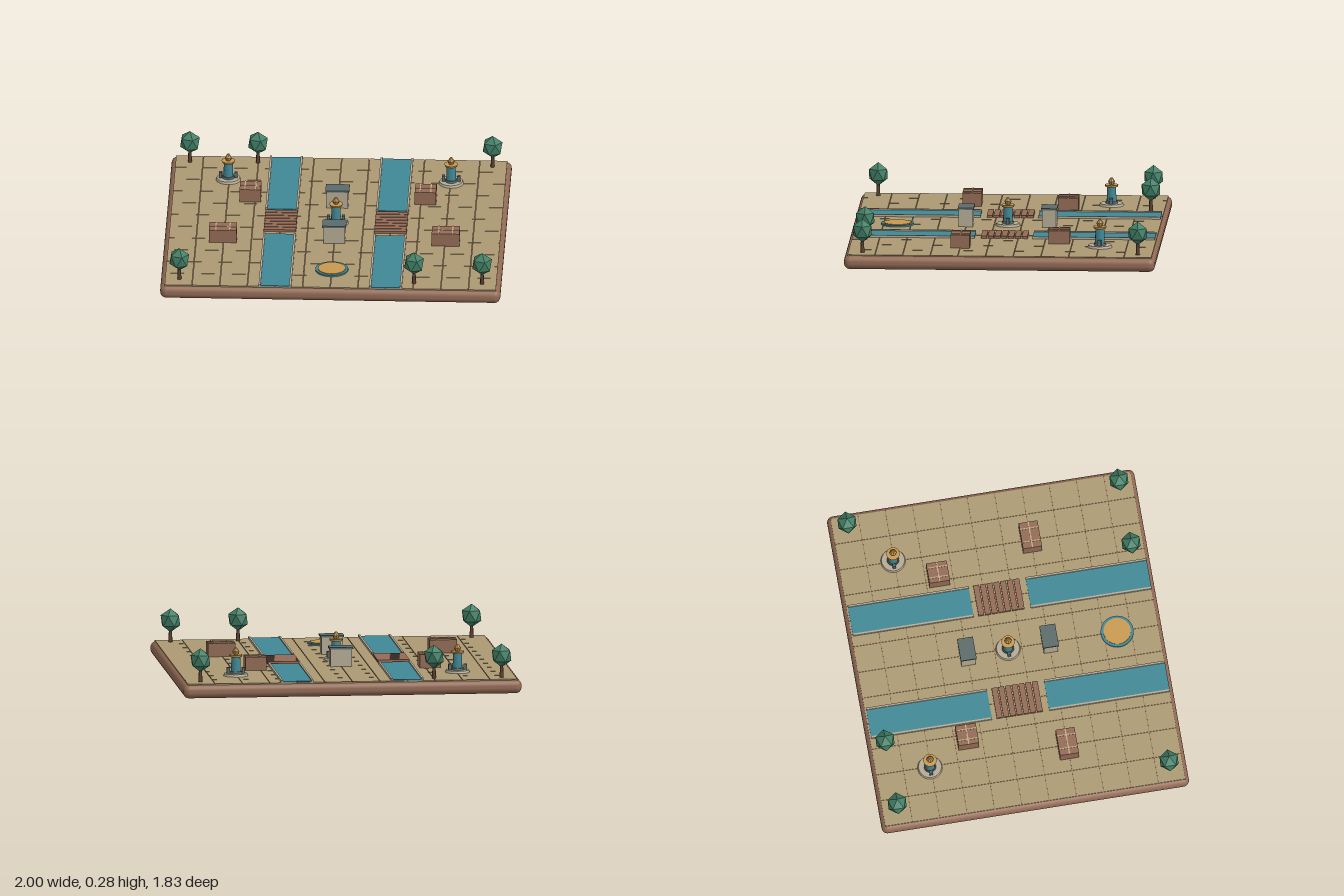
import * as THREE from 'three';
import { RoundedBoxGeometry } from 'three/addons/geometries/RoundedBoxGeometry.js';

function mat(name, color, flatShading = false) {
  const m = new THREE.MeshStandardMaterial({ color, flatShading });
  m.name = name;
  return m;
}

export function createModel() {
  const wood = mat('brown wood', 0x936b55);
  const sand = mat('sand paving', 0xac9a72);
  const water = mat('teal', 0x418896);
  const stone = mat('pale stone', 0xb5ab95);
  const slate = mat('slate', 0x5b6b6a);
  const gold = mat('gold', 0xc99a50, true);
  const leaf = mat('leaf green', 0x427f66, true);
  const bark = mat('dark bark', 0x5a4030);
  const strap = mat('tan strap', 0xc8ab85);

  const model = new THREE.Group();
  model.name = 'plaza';
  const G = 0.086; // paving level

  function add(parent, name, geometry, material, x, y, z) {
    const m = new THREE.Mesh(geometry, material);
    m.name = name;
    m.position.set(x, y, z);
    parent.add(m);
    return m;
  }
  // box and cylinder placed by the height of their underside
  const box = (p, name, m, w, h, d, x, y, z) =>
    add(p, name, new THREE.BoxGeometry(w, h, d), m, x, y + h / 2, z);
  const cyl = (p, name, m, rTop, rBottom, h, x, y, z, sides = 24) =>
    add(p, name, new THREE.CylinderGeometry(rTop, rBottom, h, sides), m, x, y + h / 2, z);
  function group(name, x, z) {
    const g = new THREE.Group();
    g.name = name;
    g.position.set(x, G, z);
    model.add(g);
    return g;
  }

  // rounded base slab
  add(model, 'base', new RoundedBoxGeometry(2, 0.082, 1.83, 4, 0.036), wood, 0, 0.041, 0);

  // square paving with fine joints
  const paving = new THREE.Group();
  paving.name = 'paving';
  model.add(paving);
  const cols = 12, rows = 11, tw = 1.95 / cols, td = 1.79 / rows;
  for (let i = 0; i < cols; i++) {
    for (let j = 0; j < rows; j++) {
      box(paving, 'tile', sand, tw - 0.003, 0.008, td - 0.003,
        (i + 0.5) * tw - 0.975, G - 0.008, (j + 0.5) * td - 0.895);
    }
  }

  // two canals, each interrupted by a plank bridge
  for (const side of [-1, 1]) {
    const x = side * 0.325;
    for (const [z0, z1] of [[-0.885, -0.165], [0.175, 0.895]]) {
      const canal = group('canal', x, (z0 + z1) / 2);
      box(canal, 'water', water, 0.17, 0.006, z1 - z0, 0, 0, 0);
      for (const s of [-1, 1]) box(canal, 'kerb', stone, 0.012, 0.013, z1 - z0, s * 0.09, 0, 0);
    }
    const bridge = group('bridge', x, 0);
    for (let i = -3; i <= 3; i++) box(bridge, 'plank', wood, 0.19, 0.014, 0.034, 0, 0, i * 0.04);
  }

  // strapped crates
  function crate(x, z, w, d) {
    const g = group('crate', x, z);
    const h = 0.079;
    box(g, 'crateBody', wood, w, h, d, 0, 0, 0);
    for (const s of [-1, 1]) box(g, 'crossStrap', strap, 0.007, 0.003, d, s * w * 0.25, h, 0);
    box(g, 'longStrap', strap, w, 0.003, 0.007, 0, h, 0);
  }

  // pedestal with teal column, gold dish and finial
  function monument(x, z) {
    const g = group('monument', x, z);
    cyl(g, 'plinth', stone, 0.068, 0.073, 0.014, 0, 0, 0);
    cyl(g, 'collar', slate, 0.034, 0.036, 0.012, 0, 0.014, 0);
    cyl(g, 'column', water, 0.026, 0.029, 0.094, 0, 0.02, 0, 12);
    for (const s of [-1, 1]) box(g, 'sidePost', slate, 0.018, 0.035, 0.02, s * 0.045, 0.014, 0);
    cyl(g, 'dish', gold, 0.04, 0.036, 0.012, 0, 0.112, 0, 16);
    cyl(g, 'finialBase', gold, 0.021, 0.013, 0.02, 0, 0.124, 0, 8);
    cyl(g, 'finialTip', gold, 0.006, 0.021, 0.022, 0, 0.144, 0, 8);
  }

  for (const s of [-1, 1]) {
    crate(s * 0.515, -0.33, 0.125, 0.122);
    crate(s * 0.655, 0.243, 0.163, 0.112);
    monument(s * 0.655, -0.575);

    // stone booth with slate lid
    const booth = group('booth', 0, s * 0.245);
    box(booth, 'boothBody', stone, 0.126, 0.103, 0.084, 0, 0, 0);
    box(booth, 'boothLid', slate, 0.14, 0.011, 0.094, 0, 0.103, 0);
  }
  monument(0, 0);

  // round gold dais with teal rim
  const dais = group('dais', 0, 0.65);
  cyl(dais, 'daisRim', water, 0.097, 0.097, 0.009, 0, 0, 0, 40);
  cyl(dais, 'daisTop', gold, 0.081, 0.081, 0.004, 0, 0.009, 0, 40);

  // faceted trees
  const crown = new THREE.IcosahedronGeometry(0.07, 0);
  crown.rotateZ(-0.5536);
  crown.scale(0.92, 1, 0.9);
  for (const [x, z] of [[-0.89, -0.81], [-0.49, -0.815], [0.89, -0.81],
    [-0.89, 0.81], [0.49, 0.815], [0.89, 0.81]]) {
    const tree = group('tree', x, z);
    cyl(tree, 'trunk', bark, 0.009, 0.012, 0.08, 0, 0, 0, 8);
    add(tree, 'crown', crown, leaf, 0, 0.129, 0);
  }
  return model;
}
